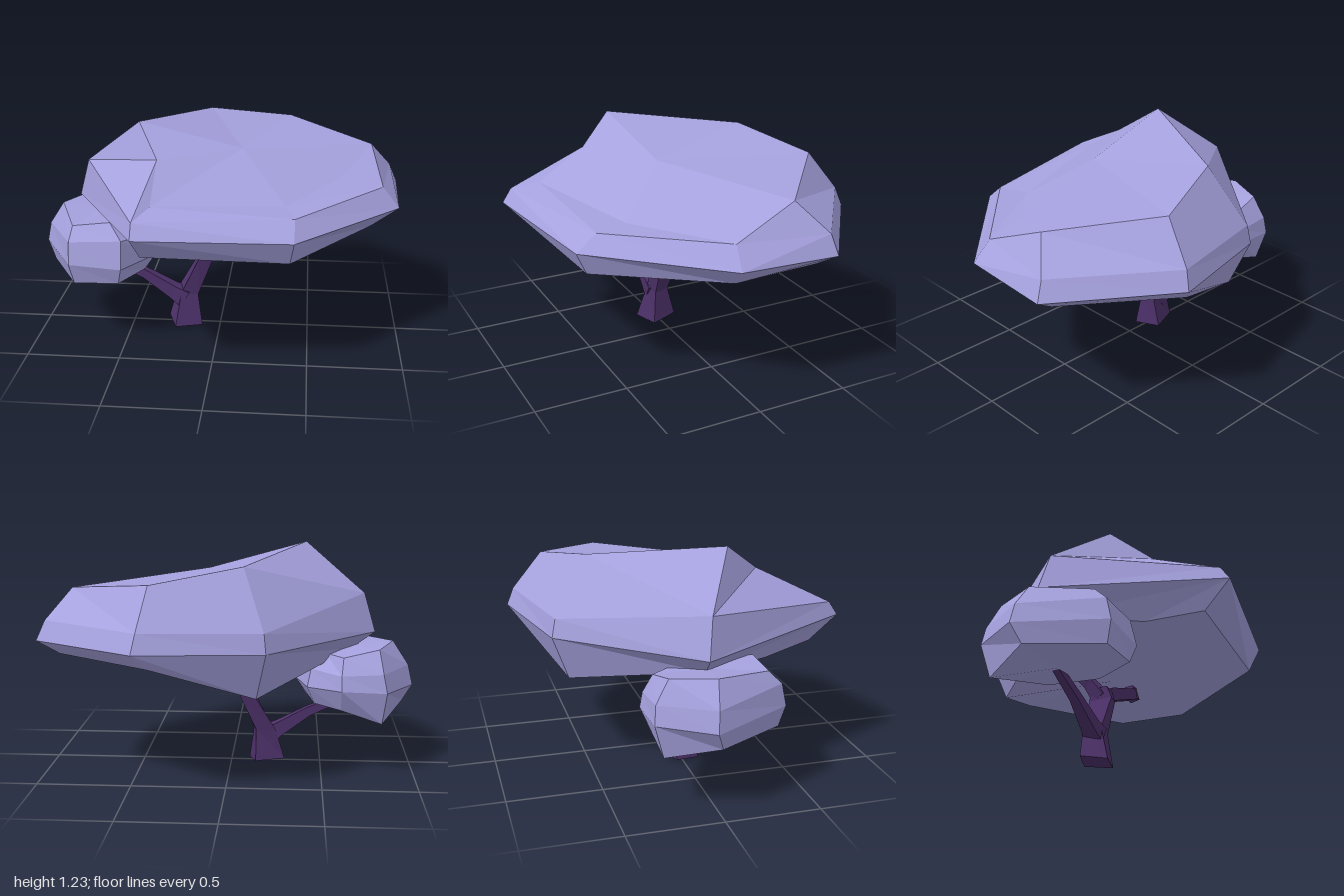
import * as THREE from 'three';

const leafMat = new THREE.MeshStandardMaterial({ color: 0xa5a1de, flatShading: true });
const barkMat = new THREE.MeshStandardMaterial({ color: 0x4b3068, flatShading: true });

// Faceted solid through stacked rings (bottom to top, clockwise seen from above);
// columns listed in flipped split their quads along the other diagonal
function loft(name, rings, mat, { topCentre, bottomCentre, flipped = [] } = {}) {
  const v = rings.map(r => r.map(p => new THREE.Vector3(...p)));
  const pos = [];
  const tri = (a, b, c) => {
    const area = b.clone().sub(a).cross(c.clone().sub(a)).length();
    if (area > 1e-7) for (const p of [a, b, c]) pos.push(p.x, p.y, p.z);
  };
  const centre = (r, given) => given ? new THREE.Vector3(...given)
    : r.reduce((s, p) => s.add(p), new THREE.Vector3()).divideScalar(r.length);
  const n = v[0].length;
  const bottom = v[0], top = v[v.length - 1];
  const c0 = centre(bottom, bottomCentre);
  const c1 = centre(top, topCentre);
  for (let i = 0; i < n; i++) {
    const j = (i + 1) % n;
    for (let k = 0; k + 1 < v.length; k++) {
      const L = v[k], U = v[k + 1];
      if (flipped.includes(i)) {
        tri(L[j], L[i], U[i]);
        tri(L[j], U[i], U[j]);
      } else {
        tri(L[j], L[i], U[j]);
        tri(L[i], U[i], U[j]);
      }
    }
    tri(c0, bottom[i], bottom[j]);
    tri(c1, top[j], top[i]);
  }
  const geo = new THREE.BufferGeometry();
  geo.setAttribute('position', new THREE.Float32BufferAttribute(pos, 3));
  geo.computeVertexNormals();
  const mesh = new THREE.Mesh(geo, mat);
  mesh.name = name;
  return mesh;
}

// Four-sided tapering branch; each stop is [x, y, z, halfWidth]
function limb(name, stops) {
  const pts = stops.map(s => new THREE.Vector3(s[0], s[1], s[2]));
  const rings = stops.map((s, i) => {
    const t = pts[Math.min(i + 1, pts.length - 1)].clone().sub(pts[Math.max(i - 1, 0)]).normalize();
    const side = t.clone().cross(new THREE.Vector3(0, 0, 1)).normalize();
    const front = side.clone().cross(t);
    return [[-1, -1], [1, -1], [1, 1], [-1, 1]].map(([a, b]) =>
      pts[i].clone().addScaledVector(side, a * s[3]).addScaledVector(front, b * s[3]).toArray());
  });
  return loft(name, rings, barkMat);
}

export function createModel() {
  const tree = new THREE.Group();
  tree.name = 'tree';

  // Wide canopy: underside, rim, shoulder and crown rings
  const under = [[-0.66, 0.65, 0], [-0.16, 0.505, -0.6], [0.36, 0.685, -0.77], [0.88, 0.68, -0.38],
    [0.83, 0.64, 0.06], [0.4, 0.64, 0.66], [-0.34, 0.66, 0.69], [-0.44, 0.62, 0.4]];
  const rim = [[-0.79, 0.75, -0.02], [-0.21, 0.75, -0.69], [0.43, 0.77, -0.845], [0.995, 0.755, -0.42],
    [0.97, 0.76, 0.11], [0.42, 0.765, 0.72], [-0.36, 0.8, 0.84]];
  const shoulder = [[-0.73, 0.96, 0.01], [-0.2, 0.85, -0.67], [0.41, 0.87, -0.81], [0.95, 0.86, -0.4],
    [0.88, 0.87, 0.09], [0.42, 0.855, 0.61], [-0.36, 0.875, 0.79]];
  const crown = [[-0.41, 1.225, 0.19], [-0.09, 1.155, -0.48], [0.37, 1.08, -0.65], [0.83, 1.015, -0.26],
    [0.66, 0.92, 0.1], [0.37, 0.86, 0.43], [-0.29, 0.91, 0.65], [-0.29, 1.075, 0.39]];
  // Crown and underside have one extra corner, so the middle rings repeat their last one
  for (const r of [rim, shoulder]) r.push(r[6]);
  tree.add(loft('canopy', [under, rim, shoulder, crown], leafMat,
    { topCentre: [0.13, 1.08, 0.14], bottomCentre: [0.1, 0.6, -0.05], flipped: [3, 7] }));

  // Small side clump
  tree.add(loft('sideClump', [
    [[-0.95, 0.36, 0], [-0.82, 0.29, -0.26], [-0.6, 0.36, -0.25], [-0.46, 0.37, -0.14],
      [-0.41, 0.37, 0.13], [-0.52, 0.37, 0.355], [-0.76, 0.365, 0.355]],
    [[-1, 0.46, -0.04], [-0.84, 0.47, -0.31], [-0.6, 0.48, -0.325], [-0.42, 0.47, -0.18],
      [-0.35, 0.46, 0.14], [-0.5, 0.46, 0.385], [-0.78, 0.48, 0.385]],
    [[-0.975, 0.57, -0.03], [-0.82, 0.57, -0.3], [-0.6, 0.56, -0.31], [-0.44, 0.57, -0.17],
      [-0.38, 0.58, 0.14], [-0.5, 0.61, 0.35], [-0.78, 0.6, 0.36]],
    [[-0.89, 0.7, -0.01], [-0.8, 0.69, -0.23], [-0.61, 0.65, -0.26], [-0.52, 0.65, -0.14],
      [-0.48, 0.66, 0.12], [-0.57, 0.69, 0.28], [-0.77, 0.67, 0.29]],
  ], leafMat));

  // Trunk with a flared foot
  tree.add(loft('trunk', [
    [[-0.3, 0.02, -0.04], [-0.14, 0.02, -0.1], [-0.1, 0, 0.05], [-0.25, 0, 0.095]],
    [[-0.25, 0.19, -0.05], [-0.14, 0.19, -0.055], [-0.125, 0.18, 0.03], [-0.22, 0.19, 0.04]],
    [[-0.13, 0.39, -0.08], [-0.05, 0.39, -0.08], [-0.04, 0.4, 0.03], [-0.12, 0.4, 0.05]],
    [[-0.13, 0.46, -0.07], [-0.06, 0.47, -0.07], [-0.05, 0.46, 0.02], [-0.12, 0.47, 0.02]],
  ], barkMat));

  // Branches
  tree.add(limb('lowBranch', [[-0.2, 0.15, 0, 0.05], [-0.27, 0.19, 0, 0.038], [-0.43, 0.29, 0, 0.025], [-0.66, 0.39, 0, 0.018]]));
  tree.add(limb('backBranch', [[-0.09, 0.42, -0.03, 0.04], [-0.12, 0.5, -0.08, 0.03], [-0.165, 0.6, -0.17, 0.022]]));
  tree.add(limb('longBranch', [[-0.09, 0.42, -0.03, 0.04], [0, 0.47, -0.025, 0.036], [0.23, 0.555, 0.005, 0.03]]));
  tree.add(limb('longBranchTip', [[0.24, 0.53, 0.005, 0.028], [0.25, 0.66, -0.025, 0.022]]));

  return tree;
}
